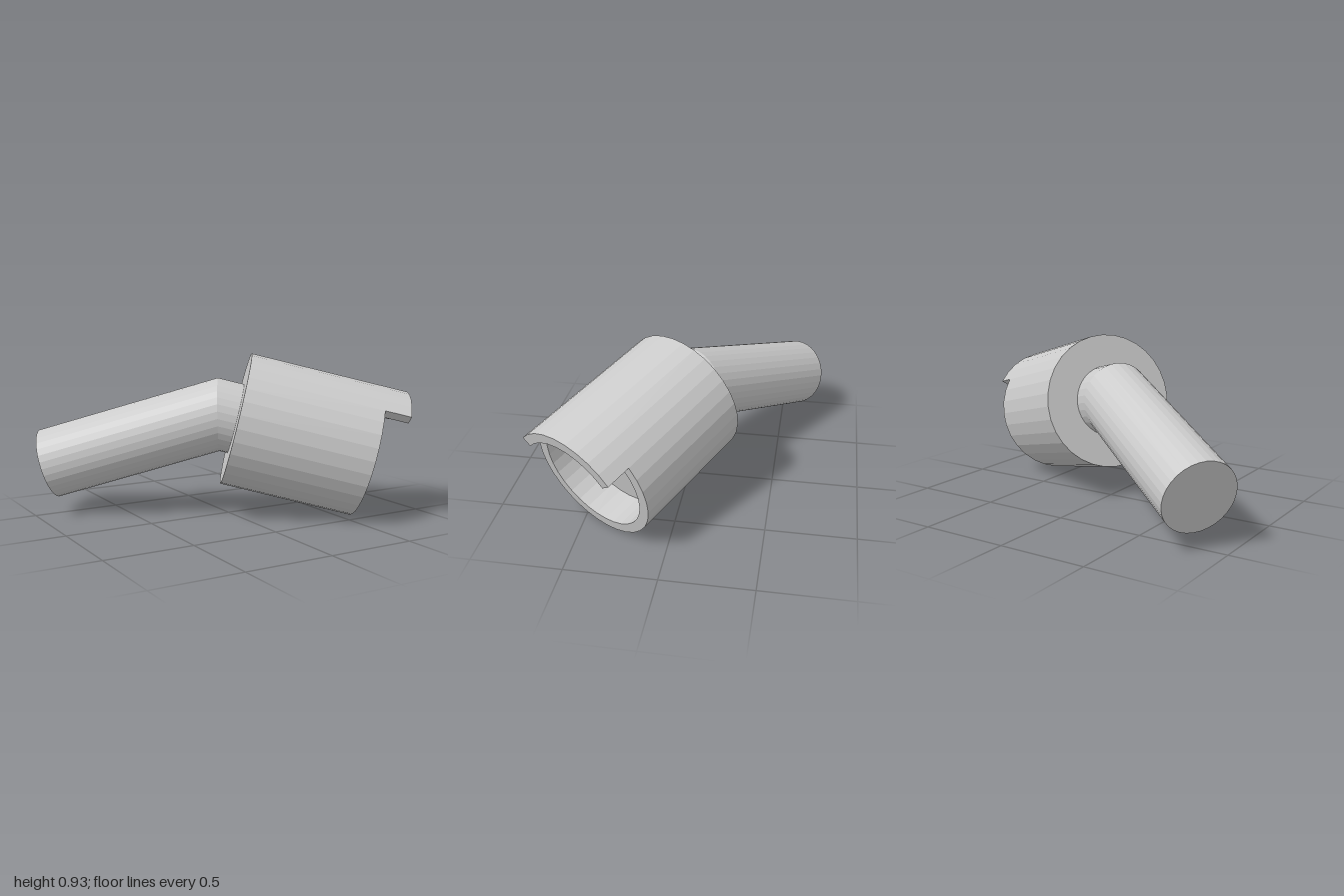
import * as THREE from 'three';

const SIDES = 32;
const V = (x, y, z) => new THREE.Vector3(x, y, z);

export function createModel() {
  const model = new THREE.Group();
  const material = new THREE.MeshStandardMaterial({ color: 0xcccccc, flatShading: true });
  const add = (parent, name, geometry) => {
    const mesh = new THREE.Mesh(geometry, material);
    mesh.name = name;
    parent.add(mesh);
  };

  // Socket frame: local y runs along the socket axis, local -z points upward
  const axis = V(0.838, -0.239, 0.49).normalize();
  const back = V(0.03, 0.566, 0.03);
  const zAxis = V(0, -1, 0).addScaledVector(axis, axis.y).normalize();
  const xAxis = axis.clone().cross(zAxis);
  const socket = new THREE.Group();
  socket.name = 'socket';
  socket.position.copy(back);
  socket.quaternion.setFromRotationMatrix(new THREE.Matrix4().makeBasis(xAxis, axis, zAxis));
  model.add(socket);

  // Cup: solid rear with a shallow recess in front
  const outer = 0.385, inner = 0.327, length = 0.77, floor = 0.57, tab = 0.15;
  const profile = [[0, 0], [outer, 0], [outer, length], [inner, length], [inner, floor], [0, floor]];
  add(socket, 'cup', new THREE.LatheGeometry(profile.map(p => new THREE.Vector2(...p)), SIDES));

  // Raised lip along part of the rim, nine facets wide
  const arc = [];
  for (let i = 3; i <= 12; i++) arc.push(i * 2 * Math.PI / SIDES);
  const at = r => a => new THREE.Vector2(r * Math.cos(a), r * Math.sin(a));
  const lipShape = new THREE.Shape([...arc.map(at(outer)), ...arc.map(at(inner)).reverse()]);
  const lip = new THREE.ExtrudeGeometry(lipShape, { depth: tab, bevelEnabled: false });
  lip.rotateX(-Math.PI / 2).translate(0, length, 0);
  add(socket, 'rimLip', lip);

  // Shaft: straight rod, mitred at the elbow, then a short stub into the cup
  const end = V(-0.878, 0.295, -0.572);
  const elbow = back.clone().addScaledVector(axis, -0.1);
  const rod = elbow.clone().sub(end).normalize();
  const miter = rod.clone().add(axis).normalize();
  const side = V(0, 1, 0).cross(rod).normalize();
  const up = rod.clone().cross(side);
  const slide = (p, dir, origin, normal) =>
    p.clone().addScaledVector(dir, origin.clone().sub(p).dot(normal) / dir.dot(normal));
  const rings = [[], [], []];
  for (let i = 0; i < SIDES; i++) {
    const a = i * 2 * Math.PI / SIDES;
    const p = end.clone().addScaledVector(side, 0.204 * Math.cos(a)).addScaledVector(up, 0.204 * Math.sin(a));
    const q = slide(p, rod, elbow, miter);
    rings[0].push(p);
    rings[1].push(q);
    rings[2].push(slide(q, axis, back, axis));
  }
  const points = [];
  for (let i = 0; i < SIDES; i++) {
    const j = (i + 1) % SIDES;
    points.push(end, rings[0][j], rings[0][i]);
    for (let k = 0; k < 2; k++) {
      const [a, b, c, d] = [rings[k][i], rings[k][j], rings[k + 1][j], rings[k + 1][i]];
      points.push(a, b, c, a, c, d);
    }
  }
  const shaft = new THREE.BufferGeometry().setFromPoints(points);
  shaft.computeVertexNormals();
  add(model, 'bentShaft', shaft);

  return model;
}
